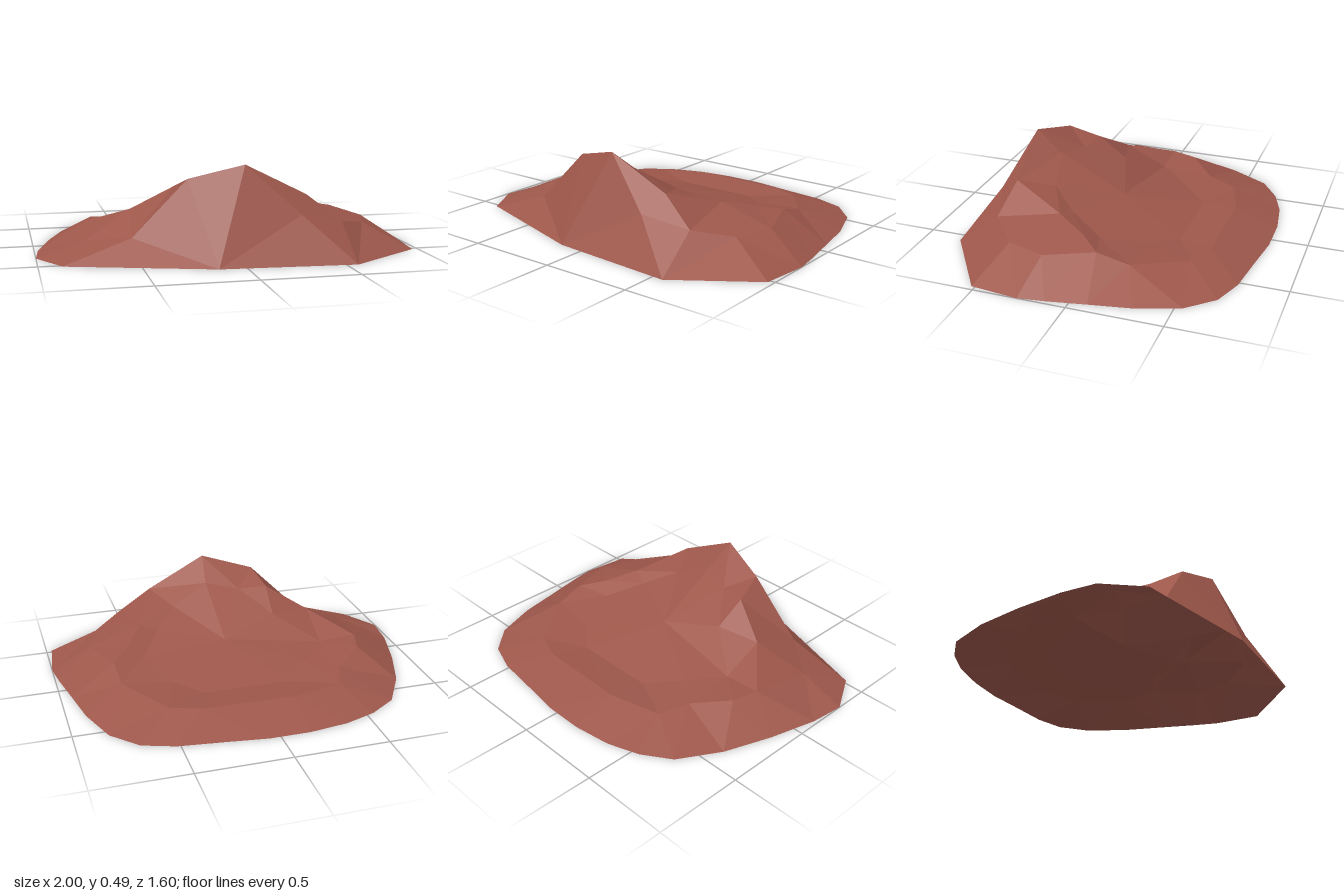
import * as THREE from 'three';

const red = new THREE.MeshStandardMaterial({ color: 0x9e574b, flatShading: true, side: THREE.DoubleSide });
red.name = 'red earth';

// Joins an outer and an inner line of points with triangles, always taking the shorter diagonal.
function strip(name, outer, inner, closed) {
  const a = closed ? [...outer, outer[0]] : outer;
  const b = closed && inner.length > 1 ? [...inner, inner[0]] : inner;
  const dist = (p, q) => Math.hypot(p[0] - q[0], p[1] - q[1], p[2] - q[2]);
  const positions = [];
  const triangle = (p, q, r) => {
    if (dist(p, q) > 1e-6 && dist(q, r) > 1e-6 && dist(r, p) > 1e-6) positions.push(...p, ...q, ...r);
  };
  let i = 0, j = 0;
  while (i < a.length - 1 || j < b.length - 1) {
    const stepOuter = j === b.length - 1 ||
      (i < a.length - 1 && dist(a[i + 1], b[j]) < dist(a[i], b[j + 1]));
    if (stepOuter) {
      triangle(a[i], b[j], a[i + 1]);
      i++;
    } else {
      triangle(a[i], b[j], b[j + 1]);
      j++;
    }
  }
  const geometry = new THREE.BufferGeometry();
  geometry.setAttribute('position', new THREE.Float32BufferAttribute(positions, 3));
  geometry.computeVertexNormals();
  const mesh = new THREE.Mesh(geometry, red);
  mesh.name = name;
  return mesh;
}

export function createModel() {
  // Ground outline as x, z: left side, back, right side, front
  const outline = [
    [-0.98, 0.12], [-0.91, -0.14], [-0.82, -0.39], [-0.69, -0.61], [-0.54, -0.71], [-0.37, -0.77],
    [-0.16, -0.8], [0.06, -0.8], [0.28, -0.77], [0.52, -0.74], [0.69, -0.68], [0.82, -0.54],
    [0.9, -0.31], [0.94, -0.09], [0.98, 0.12], [1, 0.26], [0.97, 0.52],
    [0.56, 0.8], [-0.14, 0.75], [-0.88, 0.52], [-1, 0.31],
  ].map(([x, z]) => [x, 0, z]);

  // Low rim around the back
  const backRim = [
    [-0.71, 0.125, -0.03], [-0.67, 0.12, -0.17], [-0.5, 0.085, -0.32], [-0.44, 0.07, -0.48],
    [-0.16, 0.08, -0.56], [0.34, 0.08, -0.55], [0.5, 0.08, -0.49], [0.69, 0.11, -0.22], [0.7, 0.155, -0.05],
  ];
  const rimLeft = backRim[0], rimRight = backRim[backRim.length - 1];

  // Summit and the ridges running back from it
  const peak = [0.04, 0.485, 0.55], shoulder = [-0.24, 0.41, 0.47];
  const rightRidge = [[0.6, 0.185, 0.06], [0.5, 0.23, 0.23], [0.37, 0.32, 0.53]];
  const leftRidge = [[-0.28, 0.35, 0.3], [-0.5, 0.22, 0.2]];

  // Ledges below the ridges
  const rightLedge = [[0.79, 0.14, 0.21], [0.72, 0.14, 0.42], [0.55, 0.18, 0.57], [0.31, 0.235, 0.65]];
  const leftLedge = [[-0.53, 0.12, 0.48], [-0.75, 0.085, 0.31]];

  // Hollow behind the summit
  const hollow = [
    [-0.5, 0.11, -0.03], [-0.35, 0.09, -0.2], [-0.19, 0.065, -0.36], [0.27, 0.065, -0.36],
    [0.42, 0.09, -0.24], [0.52, 0.14, 0], [0.4, 0.2, 0.2], [0.27, 0.27, 0.35],
    [0.06, 0.37, 0.4], [-0.12, 0.34, 0.33], [-0.27, 0.24, 0.14],
  ];

  const group = new THREE.Group();
  group.name = 'mound';
  group.add(
    strip('outerSlope', outline, [...backRim, ...rightLedge, peak, shoulder, ...leftLedge], true),
    strip('rightFlank', [rimRight, ...rightLedge, peak], [rimRight, ...rightRidge, peak], false),
    strip('leftFlank', [shoulder, ...leftLedge, rimLeft], [shoulder, ...leftRidge, rimLeft], false),
    strip('innerSlope', [...backRim, ...rightRidge, peak, shoulder, ...leftRidge], hollow, true),
    strip('hollowFloor', hollow, [[0.05, 0.17, 0.03]], true),
  );
  return group;
}
